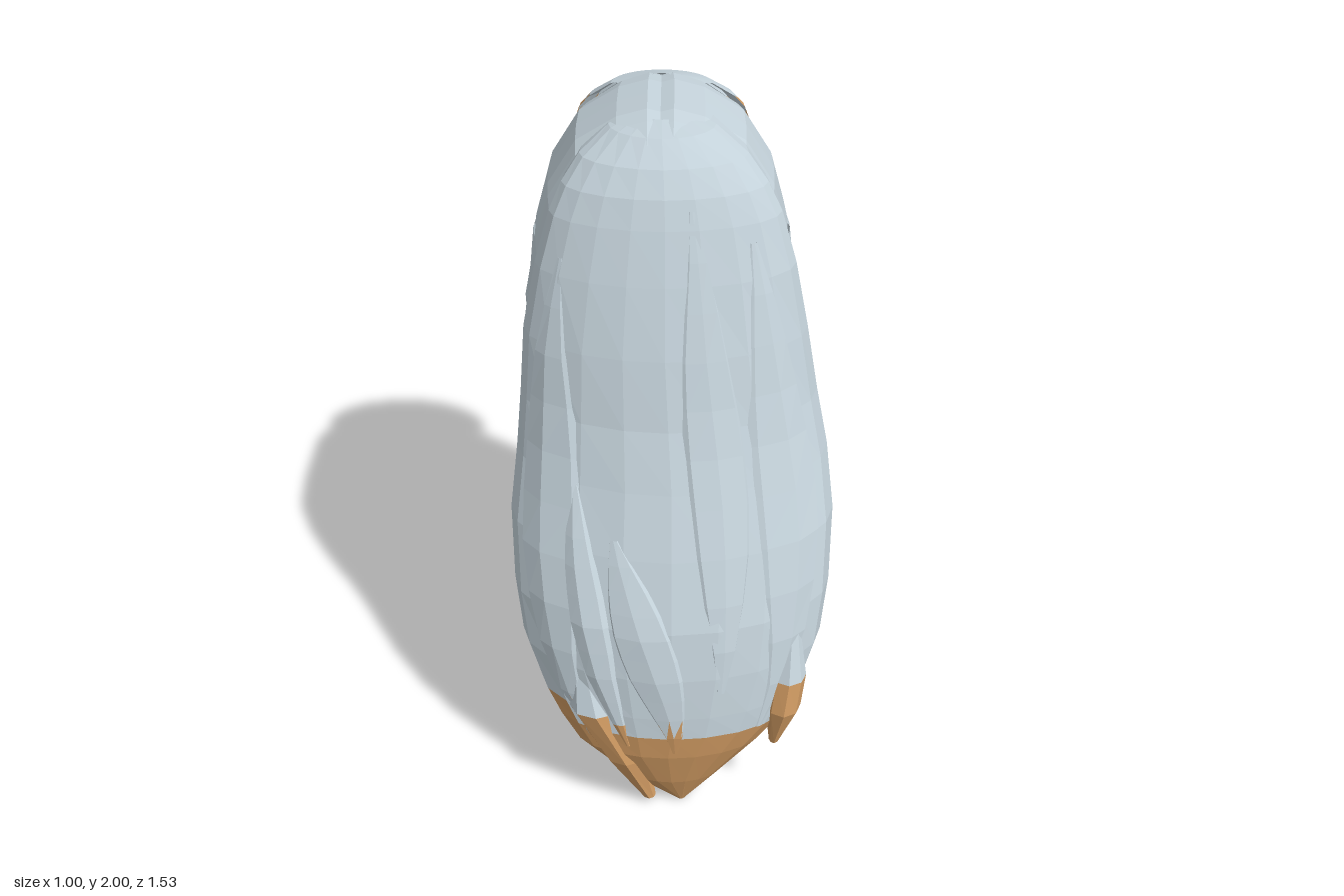
import * as THREE from 'three';

const hair = new THREE.MeshStandardMaterial({ color: 0xc3d1d9, side: THREE.DoubleSide });
hair.name = 'pale blue grey hair';
const tipMat = new THREE.MeshStandardMaterial({ color: 0xcf9a62, side: THREE.DoubleSide });
tipMat.name = 'copper tips';
const CX = -0.035; // the head sits slightly off the centre line

// Faceted surface through rows of points; isTip(y, z) picks the copper faces
function surface(name, rows, isTip = () => false) {
  const plain = [], tips = [];
  for (let i = 0; i < rows.length - 1; i++) {
    for (let j = 0; j < rows[i].length - 1; j++) {
      const a = rows[i][j], b = rows[i + 1][j], c = rows[i + 1][j + 1], d = rows[i][j + 1];
      for (const tri of [[a, b, c], [a, c, d]]) {
        const y = (tri[0][1] + tri[1][1] + tri[2][1]) / 3;
        const z = (tri[0][2] + tri[1][2] + tri[2][2]) / 3;
        (isTip(y, z) ? tips : plain).push(...tri.flat());
      }
    }
  }
  const geo = new THREE.BufferGeometry();
  geo.setAttribute('position', new THREE.Float32BufferAttribute(plain.concat(tips), 3));
  geo.addGroup(0, plain.length / 3, 0);
  geo.addGroup(plain.length / 3, tips.length / 3, 1);
  geo.computeVertexNormals();
  const mesh = new THREE.Mesh(geo, [hair, tipMat]);
  mesh.name = name;
  return mesh;
}

// Row at a given key, interpolated in a table whose first column is the key, descending
function lookup(table, key) {
  const found = table.findIndex((s) => s[0] <= key);
  const i = found < 0 ? table.length - 1 : Math.max(1, found);
  const a = table[i - 1], b = table[i], t = (a[0] - key) / (a[0] - b[0]);
  return a.map((v, k) => v + (b[k] - v) * t);
}

// Point on a horizontal section [y, xCentre, halfWidth, zBack, zFront], squarer at the back
function onSection([y, xc, hw, zb, zf], angle, r = 1) {
  const c = Math.cos(angle), s = Math.sin(angle), power = s < 0 ? 0.62 : 1.06;
  const soft = (v) => Math.sign(v) * Math.abs(v) ** power;
  return [xc + r * hw * soft(c), y, (zb + zf) / 2 + r * (zf - zb) / 2 * soft(s)];
}

// Closed lock through sections listed from top to bottom
function loft(name, sections, sides, isTip, point = onSection) {
  const rows = sections.map((s) =>
    Array.from({ length: sides + 1 }, (_, j) => point(s, -j / sides * Math.PI * 2)));
  const end = rows[rows.length - 1];
  const middle = [0, 1, 2].map((k) => (end[0][k] + end[sides / 2][k]) / 2);
  rows.push(end.map(() => middle));
  return surface(name, rows, isTip);
}
const below = (limit) => (y) => y < limit;

const TAIL = [
  [1.985, -0.03, 0.08, -0.22, -0.05], [1.96, -0.03, 0.16, -0.2, 0.035], [1.9, -0.025, 0.25, -0.14, 0.12],
  [1.83, -0.022, 0.305, -0.1, 0.175], [1.75, -0.02, 0.345, -0.08, 0.215], [1.6, -0.02, 0.39, -0.07, 0.28],
  [1.4, -0.02, 0.43, -0.09, 0.36], [1.2, -0.01, 0.455, -0.1, 0.43], [1.03, 0, 0.48, -0.09, 0.51],
  [0.85, 0, 0.5, 0, 0.6], [0.65, 0, 0.49, 0.1, 0.69], [0.5, 0, 0.465, 0.2, 0.73],
  [0.37, 0, 0.405, 0.34, 0.753], [0.3, 0, 0.36, 0.42, 0.762], [0.22, -0.01, 0.29, 0.5, 0.76],
  [0.1, 0, 0.15, 0.6, 0.74], [0, 0.03, 0.012, 0.69, 0.71],
];

// Raised strand lying on the tail, tapering at both ends
function strand(name, y0, y1, a0, a1, width, height) {
  const rows = [];
  for (let i = 0; i <= 10; i++) {
    const t = i / 10, swell = Math.sin(Math.PI * (0.04 + 0.92 * t));
    const s = lookup(TAIL, y0 + (y1 - y0) * t);
    rows.push([-1, -0.8, 0, 0.8, 1].map((u) =>
      onSection(s, a0 + (a1 - a0) * t + u * width * swell,
        Math.abs(u) === 1 ? 0.97 : 1 + height * swell * (1.2 - u * u))));
  }
  return surface(name, rows, below(0.34));
}

// Side locks wrap around the face: z, distance from the centre line
const WRAP = [[-0.05, 0.39], [-0.15, 0.415], [-0.25, 0.43], [-0.38, 0.405], [-0.46, 0.355],
  [-0.53, 0.28], [-0.6, 0.2], [-0.72, 0.14]];

export function createModel() {
  const model = new THREE.Group();
  model.name = 'hairpiece';

  // Long hair hanging down the back, its copper end reaching higher on the inner side
  model.add(loft('longHair', TAIL, 20, (y, z) => y < (z > 0.66 ? 0.31 : 0.36)));
  model.add(loft('leftHairTip', [
    [0.62, 0.37, 0.02, 0.54, 0.58], [0.44, 0.36, 0.055, 0.56, 0.675],
    [0.34, 0.345, 0.055, 0.58, 0.705], [0.21, 0.32, 0.015, 0.64, 0.68],
  ], 8, below(0.43)));
  model.add(loft('rightHairTip', [
    [0.56, -0.28, 0.02, 0.6, 0.63], [0.36, -0.23, 0.085, 0.6, 0.735],
    [0.18, -0.14, 0.07, 0.63, 0.75], [0.02, -0.07, 0.02, 0.69, 0.73],
  ], 8, below(0.36)));
  model.add(strand('leftStrand', 1.7, 0.3, 0.75, 0.7, 0.3, 0.04));
  model.add(strand('rightStrand', 1.65, 0.27, 2.55, 2.4, 0.3, 0.04));
  model.add(strand('centreStrand', 0.9, 0.24, 1.95, 1.5, 0.22, 0.05));
  model.add(strand('frontRightStrand', 1.05, 0.26, 2.25, 2.0, 0.14, 0.06));
  model.add(strand('upperStrand', 1.8, 0.45, 1.3, 1.2, 0.22, 0.025));

  // Crown: arches running forward over the head, open underneath
  const half = [[1.03, 1.2], [1.02, 1.4], [0.97, 1.6], [0.86, 1.76], [0.64, 1.9], [0.33, 1.975], [0.1, 2]];
  const arch = [...half, [0, 1.99], ...half.map(([w, y]) => [-w, y]).reverse()];
  const stations = [ // z, half width, drop, lowest y
    [0.1, 0.36, 0.09, 1.5], [0.03, 0.385, 0.04, 1.45], [-0.04, 0.395, 0.015, 1.4], [-0.1, 0.4, 0, 1.34],
    [-0.22, 0.405, 0, 1.22], [-0.34, 0.4, 0, 1.2], [-0.42, 0.37, 0.01, 1.22], [-0.48, 0.335, 0.03, 1.26],
    [-0.53, 0.285, 0.06, 1.3], [-0.575, 0.235, 0.1, 1.4],
  ];
  model.add(surface('crown', stations.map(([z, hw, drop, low]) =>
    arch.map(([w, y]) => [CX + w * hw, Math.max(low, y - drop), z]))));

  // Fringe: rounded cap over the forehead with a copper rim
  const fringe = [ // y, half width, z at the sides, z in the middle
    [1.99, 0.04, -0.39, -0.42], [1.955, 0.16, -0.42, -0.54], [1.9, 0.23, -0.455, -0.625], [1.85, 0.265, -0.49, -0.68],
    [1.79, 0.285, -0.51, -0.72], [1.72, 0.29, -0.525, -0.75], [1.65, 0.28, -0.54, -0.765],
    [1.58, 0.24, -0.575, -0.765], [1.51, 0.17, -0.635, -0.755], [1.43, 0.06, -0.68, -0.73],
  ];
  const fringeRows = fringe.flatMap(([y], i) => (i ? [(y + fringe[i - 1][0]) / 2, y] : [y]))
    .map((y) => lookup(fringe, y));
  const rim = (y, z) => y < Math.min(Math.max(1.79, 2.37 + z), 3.1 + 1.95 * z, 1.9);
  for (const [name, shrink] of [['fringe', 1], ['fringeLining', 0.88]]) {
    model.add(surface(name, fringeRows.map(([y, hw, ze, zm]) =>
      Array.from({ length: 19 }, (_, j) => {
        const a = j / 18 * Math.PI;
        return [CX + hw * shrink * Math.cos(a), y, ze + (zm - ze) * shrink * Math.sin(a)];
      })), rim));
  }

  // Mirrored side locks: sections are y, shift outwards, half thickness, z nearest the face, z nearest the back
  const locks = [
    ['cheekLock', 1.11, [
      [1.74, -0.09, 0.02, -0.54, -0.34], [1.5, -0.02, 0.03, -0.57, -0.3], [1.3, 0, 0.035, -0.575, -0.315],
      [1.12, 0, 0.035, -0.6, -0.36], [1.03, 0, 0.03, -0.62, -0.44], [0.92, 0, 0.015, -0.63, -0.575]]],
    ['cheekLockTip', 1.13, [
      [1.5, -0.03, 0.02, -0.38, -0.3], [1.25, 0.015, 0.03, -0.45, -0.31],
      [1.13, 0.02, 0.03, -0.47, -0.34], [0.98, 0.015, 0.012, -0.5, -0.45]]],
    ['rearSideLock', 0.8, [
      [1.55, -0.04, 0.02, -0.29, -0.09], [1.2, -0.01, 0.035, -0.33, -0.1], [1.0, 0, 0.035, -0.37, -0.12],
      [0.86, 0, 0.035, -0.42, -0.18], [0.8, 0.005, 0.03, -0.43, -0.225], [0.67, 0.01, 0.012, -0.43, -0.38]]],
    ['frontSideLock', 0.69, [
      [1.4, -0.04, 0.02, -0.38, -0.22], [1.05, -0.02, 0.035, -0.44, -0.25], [0.9, -0.01, 0.035, -0.56, -0.31],
      [0.76, 0, 0.035, -0.62, -0.38], [0.68, 0, 0.03, -0.66, -0.44],
      [0.58, 0, 0.025, -0.7, -0.53], [0.54, 0, 0.012, -0.66, -0.6]]],
  ];
  for (const [side, s] of [['left', 1], ['right', -1]]) {
    const wrapped = ([y, shift, t, zb, zf], angle) => {
      const z = (zb + zf) / 2 + (zf - zb) / 2 * Math.sin(angle);
      return [CX + s * (lookup(WRAP, z)[1] + shift + t * Math.cos(angle)), y, z];
    };
    for (const [name, tipY, sections] of locks) {
      model.add(loft(`${side} ${name}`, sections, 12, below(tipY), wrapped));
    }
  }
  return model;
}
